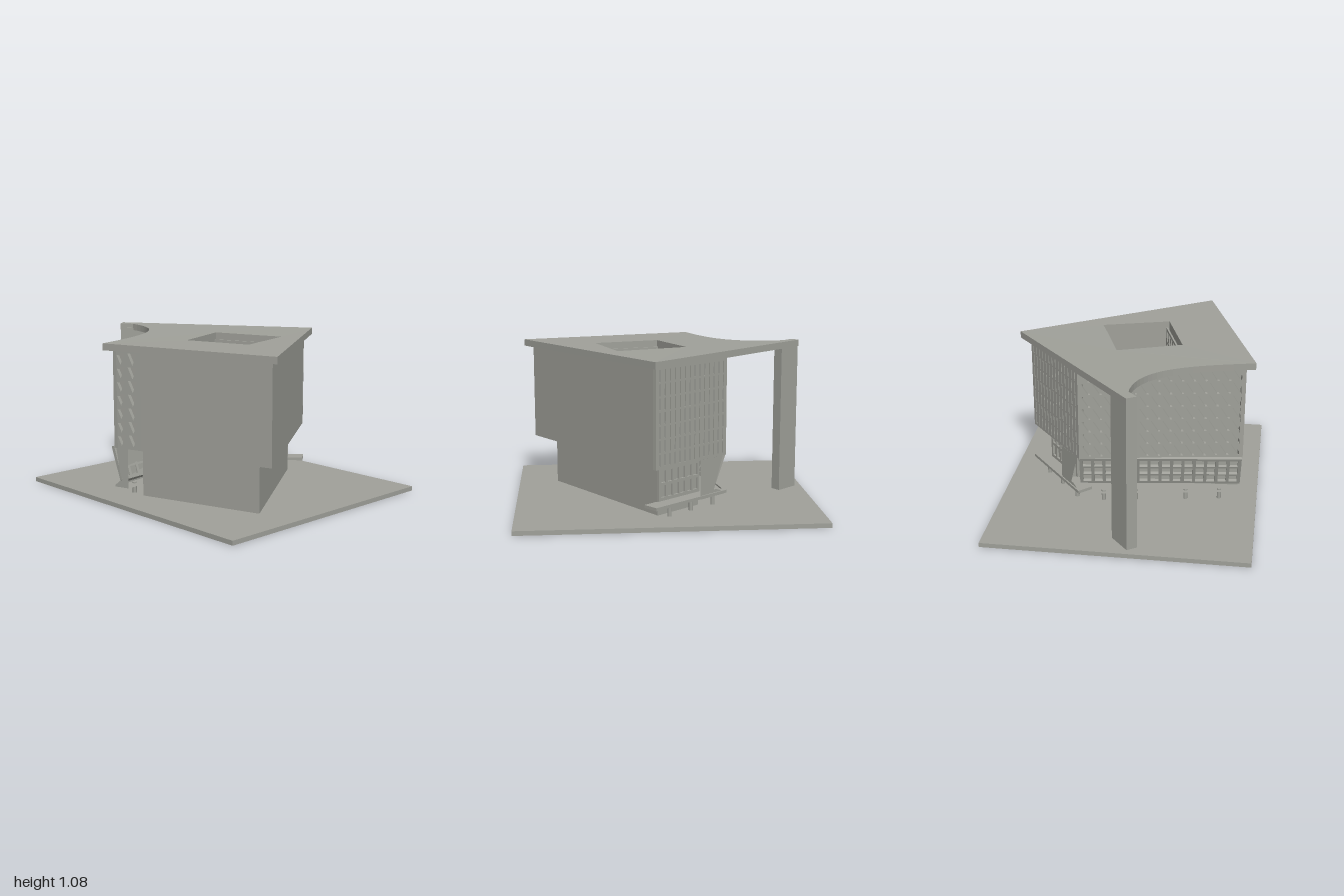
import * as THREE from 'three';

const concrete = new THREE.MeshStandardMaterial({ color: 0xa0a19a });
concrete.name = 'concrete';

// Plan points are [x, z]
const A = [-0.76, -0.22], B = [-0.42, 0.885], C = [0.735, 0.10], F = [0.32, -0.40], P = [-0.70, -0.02];
const COURT = [[-0.32, 0.01], [0.10, -0.155], [0.265, 0.315], [-0.185, 0.45]];
const toV2 = (pts) => pts.map(([x, z]) => new THREE.Vector2(x, -z));
const V = (x, y, z) => new THREE.Vector3(x, y, z);

function addMesh(parent, name, geometry) {
  const mesh = new THREE.Mesh(geometry, concrete);
  mesh.name = name;
  parent.add(mesh);
  return mesh;
}

// Vertical prism over a plan outline, with an optional hole
function prism(points, y0, y1, hole) {
  const shape = new THREE.Shape(toV2(points));
  if (hole) shape.holes.push(new THREE.Path(toV2(hole)));
  const g = new THREE.ExtrudeGeometry(shape, { depth: y1 - y0, bevelEnabled: false });
  return g.rotateX(-Math.PI / 2).translate(0, y0, 0);
}

// Opening outlines in unit cell coordinates
const slot = [[0.40, 0.07], [0.60, 0.07], [0.60, 0.93], [0.40, 0.93]];
const pane = [[0.14, 0.10], [0.86, 0.10], [0.86, 0.90], [0.14, 0.90]];
const slanted = [[0.08, 0.93], [0.72, 0.07], [0.92, 0.07], [0.50, 0.93]];
const tooth = [[0.10, 0.93], [0.50, 0.07], [0.90, 0.93]];

// Wall panel pierced by a grid of openings; outer face lies on the given corners
function pierced(bl, br, tl, cols, rows, opening, depth = 0.028) {
  const u = br.clone().sub(bl), w = u.length();
  u.normalize();
  const v = tl.clone().sub(bl);
  v.addScaledVector(u, -v.dot(u));
  const h = v.length();
  v.normalize();
  const n = u.clone().cross(v);
  const shape = new THREE.Shape([[0, 0], [w, 0], [w, h], [0, h]].map((p) => new THREE.Vector2(...p)));
  const edge = 0.012, cw = (w - 2 * edge) / cols, ch = (h - 2 * edge) / rows;
  for (let i = 0; i < cols; i++) {
    for (let j = 0; j < rows; j++) {
      shape.holes.push(new THREE.Path(opening.map(([x, y]) =>
        new THREE.Vector2(edge + (i + x) * cw, edge + (j + y) * ch))));
    }
  }
  const g = new THREE.ExtrudeGeometry(shape, { depth, bevelEnabled: false }).translate(0, 0, -depth);
  return g.applyMatrix4(new THREE.Matrix4().makeBasis(u, v, n).setPosition(bl));
}

const uprightPanel = (a, b, y0, y1, cols, rows, opening, depth) =>
  pierced(V(a[0], y0, a[1]), V(b[0], y0, b[1]), V(a[0], y1, a[1]), cols, rows, opening, depth);

// Solid between two matching cross-sections
function loft(start, end) {
  const pos = [], n = start.length;
  const tri = (...pts) => pts.forEach((p) => pos.push(p.x, p.y, p.z));
  for (let i = 0; i < n; i++) {
    const j = (i + 1) % n;
    tri(start[i], end[i], end[j]);
    tri(start[i], end[j], start[j]);
  }
  const flat = start.map((p) => p.clone());
  const profile = flat.map((p) => new THREE.Vector2(p.z, p.y));
  THREE.ShapeUtils.triangulateShape(profile, []).forEach(([a, b, c]) => {
    const ccw = THREE.ShapeUtils.area([profile[a], profile[b], profile[c]]) > 0;
    const [q, r] = ccw ? [c, b] : [b, c];
    tri(start[a], start[q], start[r]);
    tri(end[a], end[r], end[q]);
  });
  const g = new THREE.BufferGeometry();
  g.setAttribute('position', new THREE.Float32BufferAttribute(pos, 3));
  g.computeVertexNormals();
  return g;
}

// Roof slab with a swept concave edge, rising gently to its rear tip
function roofGeometry() {
  const shape = new THREE.Shape(toV2([[-0.82, -0.25], [-0.45, 0.95], [0.81, 0.11], [-0.08, -0.96], [-0.14, -0.92], [-0.08, -0.85]]));
  shape.bezierCurveTo(-0.07, 0.45, -0.45, 0.35, -0.82, 0.25);
  shape.holes.push(new THREE.Path(toV2(COURT)));
  const g = new THREE.ExtrudeGeometry(shape, { depth: 0.045, bevelEnabled: false, curveSegments: 24 });
  g.rotateX(-Math.PI / 2).translate(0, 1.01, 0);
  const p = g.attributes.position;
  for (let i = 0; i < p.count; i++) {
    const behind = (-0.07 + 0.22 * p.getX(i)) - p.getZ(i);
    p.setY(i, p.getY(i) + 0.022 * THREE.MathUtils.clamp((behind - 0.03) / 0.84, 0, 1));
  }
  g.computeVertexNormals();
  return g;
}

export function createModel() {
  const model = new THREE.Group();
  model.name = 'building';

  // Ground slab
  addMesh(model, 'groundSlab', new THREE.BoxGeometry(1.73, 0.03, 2).translate(0, 0.015, 0));

  // Solid volumes
  addMesh(model, 'lowerStorey', prism([[-0.62, -0.10], [-0.365, 0.73], [0.60, 0.08], [0.36, -0.21]], 0.03, 0.361));
  addMesh(model, 'upperStorey', prism(
    [P, B, C, [0.71, 0.117], [0.29, -0.367], [-0.725, -0.198], [-0.672, -0.028]], 0.36, 1.012, COURT));
  addMesh(model, 'upperSoffit', prism([A, B, C, F], 0.36, 0.37));
  addMesh(model, 'roof', roofGeometry());

  // Tall fin carrying the roof tip
  addMesh(model, 'roofFin', prism([[-0.08, -0.955], [-0.14, -0.915], [-0.025, -0.78], [0.035, -0.82]], 0.03, 1.045));

  // Pierced facades of the upper storey
  addMesh(model, 'rearFacade', uprightPanel(F, A, 0.36, 1.012, 14, 7, slanted));
  addMesh(model, 'sideFacade', uprightPanel(C, F, 0.36, 1.012, 14, 7, slot));
  addMesh(model, 'cornerFacade', uprightPanel(A, P, 0.36, 1.012, 2, 7, tooth));

  // Courtyard window walls
  addMesh(model, 'courtyardWindows', uprightPanel(COURT[2], COURT[1], 0.37, 1.01, 6, 7, pane, 0.012).translate(-0.01, 0, 0.003));
  addMesh(model, 'courtyardWindows', uprightPanel(COURT[0], COURT[3], 0.37, 1.01, 6, 7, pane, 0.012).translate(0.01, 0, -0.003));

  // Rear gallery with an inward sloping front and a flared sill
  const section = (o, w) => [[0.13, 0.36], [0.47, 0.14], [0.37, 0.14], [0, 0.105], [0, 0.095], [1, 0.095], [1, 0.36]]
    .map(([s, y]) => V(o[0] + s * w[0], y, o[1] + s * w[1]));
  addMesh(model, 'rearGallery', loft(section(F, [0.16, 0.19]), section(A, [0.03, 0.10])));
  addMesh(model, 'galleryWindows', pierced(V(0.33, 0.14, -0.324), V(-0.747, 0.14, -0.183), V(0.28, 0.362, -0.392), 14, 3, pane, 0.022));

  // Side windows below the overhang
  addMesh(model, 'lowerSideWindows', uprightPanel([0.612, 0.072], [0.372, -0.218], 0.125, 0.345, 6, 2, pane, 0.02));

  // Side canopy
  addMesh(model, 'sideCanopy', prism([[0.66, 0.17], [0.745, 0.10], [0.33, -0.405], [0.25, -0.33]], 0.10, 0.12));

  // Short posts below the gallery and canopy
  const post = (x, z) => addMesh(model, 'post',
    new THREE.CylinderGeometry(0.014, 0.014, 0.08, 12).translate(x, 0.065, z));
  for (const t of [0.13, 0.34, 0.65, 0.85]) post(A[0] + 1.08 * t + 0.01, A[1] - 0.18 * t + 0.04);
  for (const t of [0.12, 0.45, 0.8]) post(0.66 - 0.38 * t, 0.06 - 0.46 * t);

  return model;
}
